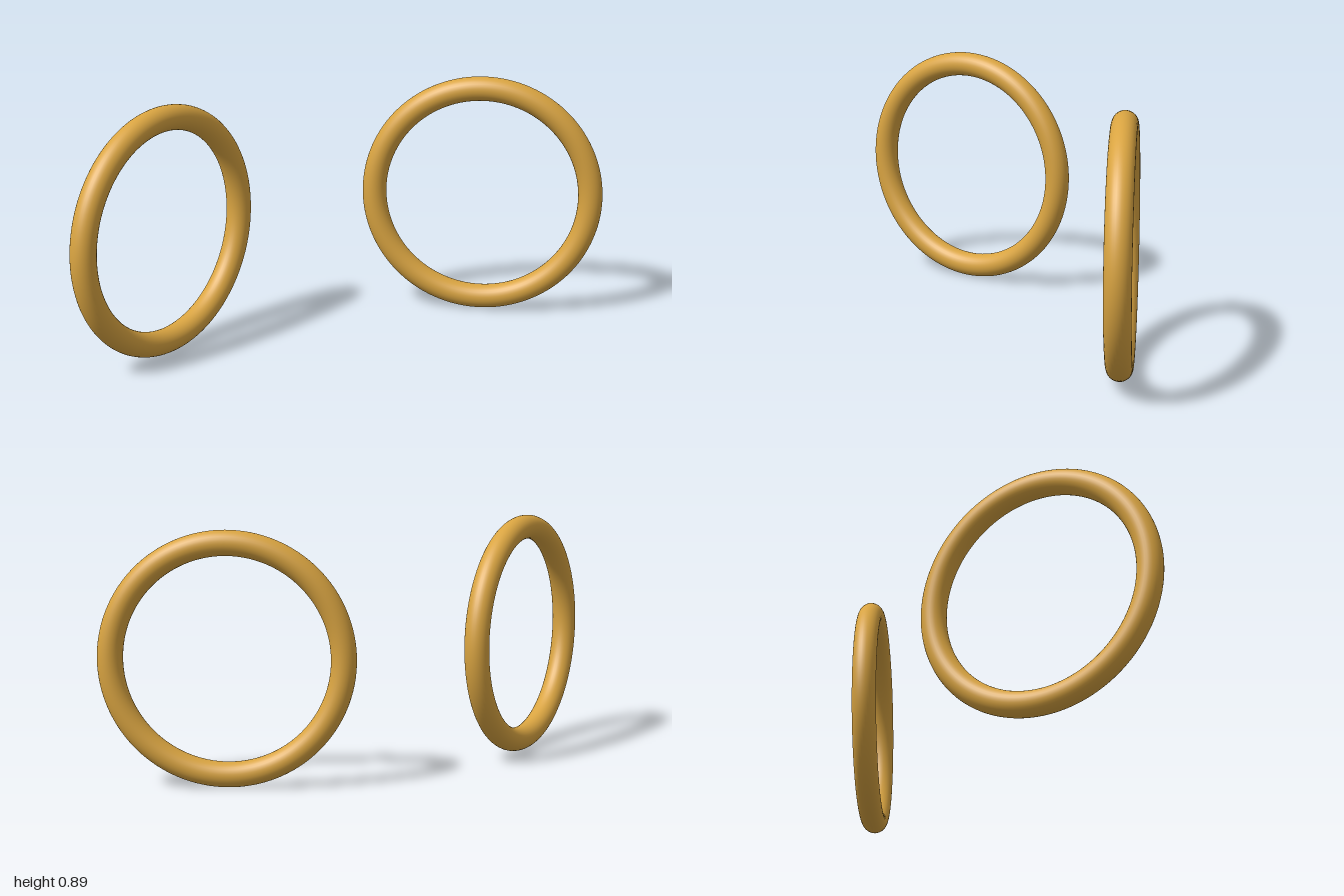
import * as THREE from 'three';

export function createModel() {
  const model = new THREE.Group();
  const gold = new THREE.MeshStandardMaterial({ color: 0xd9a441 });
  const ringGeometry = new THREE.TorusGeometry(0.402, 0.0445, 32, 128);

  // Mirrored pair of upright hoops, each swept back toward the middle
  for (const [name, side] of [['leftHoop', 1], ['rightHoop', -1]]) {
    const hoop = new THREE.Mesh(ringGeometry, gold);
    hoop.name = name;
    hoop.position.set(side * 0.613, 0.448, 0);
    hoop.rotation.y = -side * 0.55;
    model.add(hoop);
  }
  return model;
}
